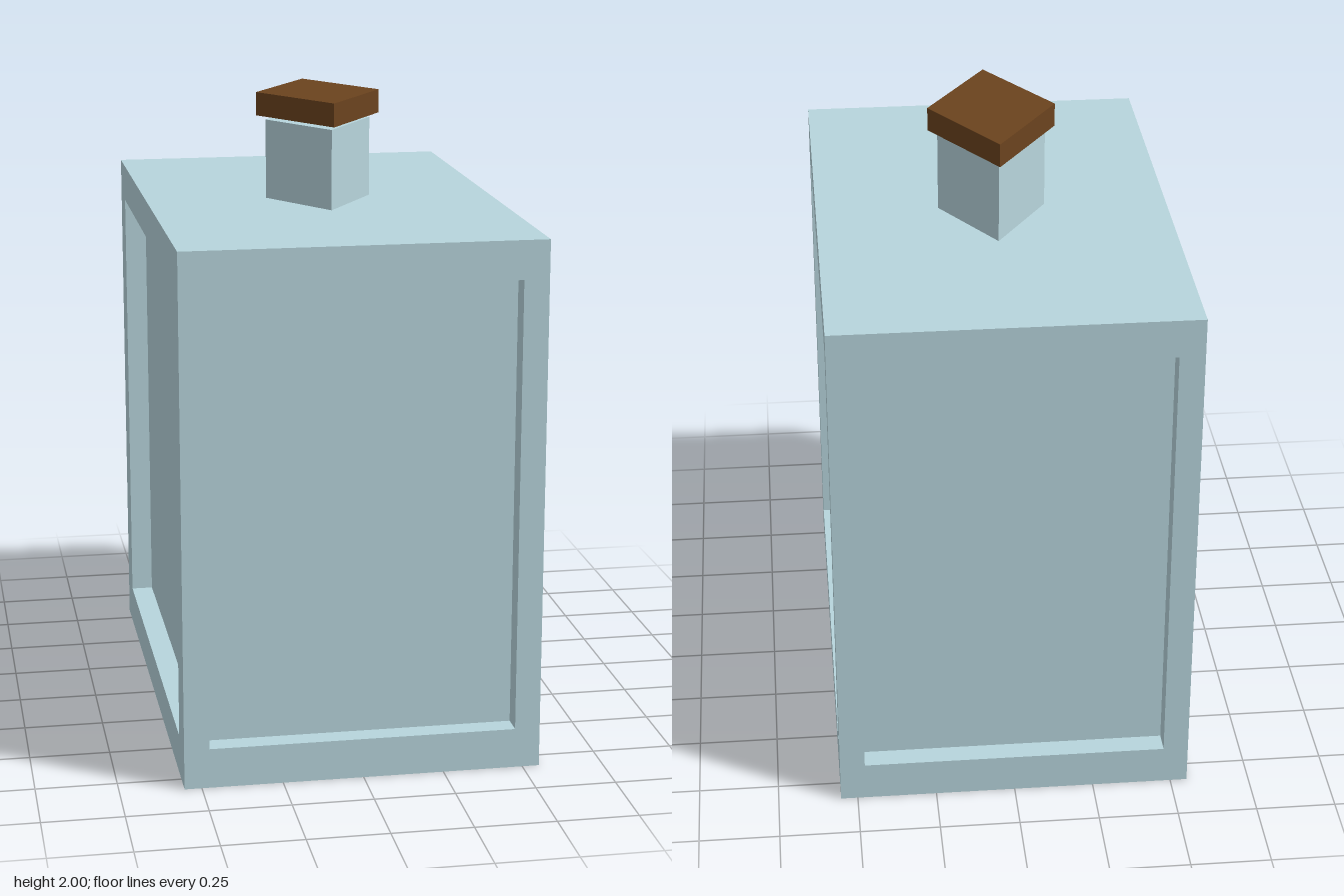
import * as THREE from 'three';

const HX = 0.553, HZ = 0.83, H = 1.66; // body half width, half depth, height
const RECESS = 0.07;

const blue = new THREE.MeshStandardMaterial({ color: 0xb7d5dc, flatShading: true });
const brown = new THREE.MeshStandardMaterial({ color: 0x6b431e, flatShading: true });

function add(parent, name, geometry, material) {
  const mesh = new THREE.Mesh(geometry, material);
  mesh.name = name;
  parent.add(mesh);
  return mesh;
}

// Wall facing +z: flat border, reveal and sunken panel, skinned between rectangular loops
function wallGeometry(half, innerHalf) {
  const loop = (w, y0, y1, z) => [[-w, y0, z], [w, y0, z], [w, y1, z], [-w, y1, z]];
  const loops = [
    loop(half, 0, H, 0),
    loop(innerHalf, 0.125, 1.54, 0),
    loop(innerHalf, 0.125, 1.54, -RECESS),
  ];
  const pos = [];
  const quad = (a, b, c, d) => pos.push(...a, ...b, ...c, ...a, ...c, ...d);
  for (let k = 0; k < 2; k++) {
    for (let i = 0; i < 4; i++) {
      const j = (i + 1) % 4;
      quad(loops[k][i], loops[k][j], loops[k + 1][j], loops[k + 1][i]);
    }
  }
  quad(...loops[2]);
  const geometry = new THREE.BufferGeometry();
  geometry.setAttribute('position', new THREE.Float32BufferAttribute(pos, 3));
  geometry.computeVertexNormals();
  return geometry;
}

// Diamond-plan prism with its points on the x and z axes
function diamond(parent, name, rx, rz, y0, y1, material) {
  const geometry = new THREE.CylinderGeometry(1, 1, y1 - y0, 4);
  geometry.scale(rx, 1, rz);
  geometry.translate(0, (y0 + y1) / 2, 0);
  add(parent, name, geometry, material);
}

export function createModel() {
  const model = new THREE.Group();
  model.name = 'bottle';

  // Body: four panelled walls closed by a top and a base
  const body = new THREE.Group();
  body.name = 'body';
  model.add(body);
  ['frontWall', 'leftWall', 'backWall', 'rightWall'].forEach((name, i) => {
    const side = i % 2 === 1;
    const wall = add(body, name, side ? wallGeometry(HZ, 0.707) : wallGeometry(HX, 0.475), blue);
    const angle = i * Math.PI / 2, reach = side ? HX : HZ;
    wall.rotation.y = angle;
    wall.position.set(Math.sin(angle) * reach, 0, Math.cos(angle) * reach);
  });
  const plate = () => new THREE.PlaneGeometry(2 * HX, 2 * HZ);
  add(body, 'shoulder', plate().rotateX(-Math.PI / 2).translate(0, H, 0), blue);
  add(body, 'base', plate().rotateX(Math.PI / 2), blue);

  // Neck and stopper
  diamond(model, 'neck', 0.168, 0.257, H, 1.912, blue);
  diamond(model, 'stopperStem', 0.105, 0.157, 1.912, 1.926, brown);
  diamond(model, 'stopperCap', 0.198, 0.299, 1.926, 2, brown);

  return model;
}
